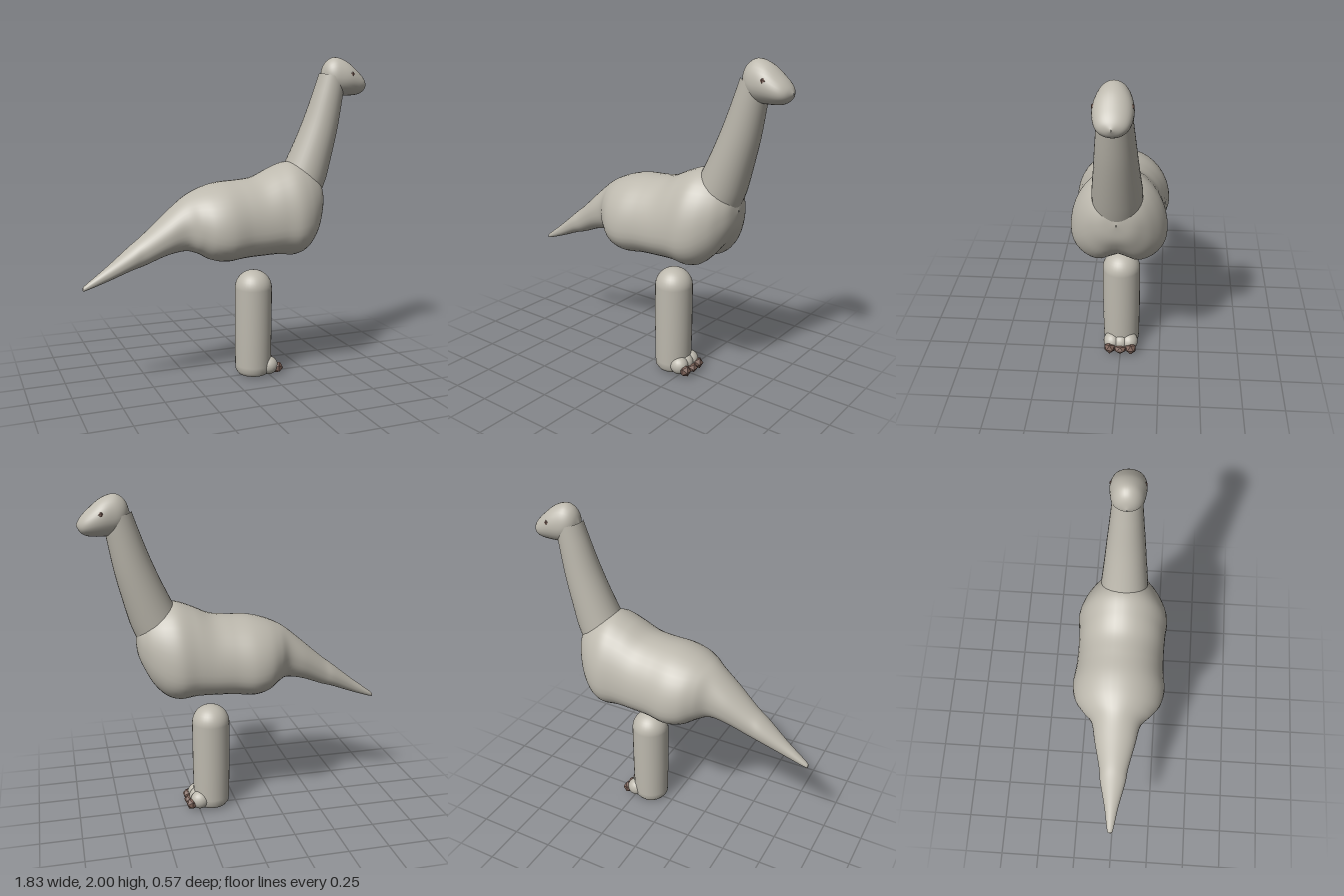
import * as THREE from 'three';

const skin = new THREE.MeshStandardMaterial({ name: 'grey skin', color: 0xbdb9ae });
const brown = new THREE.MeshStandardMaterial({ name: 'brown claw', color: 0x7c6258 });

// Lofts egg-shaped sections along x.
// Station: [x, top, bottom, half width, height of widest point (0-1), groove under the belly]
function loft(stations, steps = 80, sides = 40, squareness = 0.85) {
  const spline = (pick) => new THREE.CatmullRomCurve3(
    stations.map((s) => new THREE.Vector3(...pick(s))), false, 'catmullrom', 0.5);
  const spine = spline((s) => [s[0], s[1], s[2]]);
  const shape = spline((s) => [s[3], s[4], s[5]]);
  const pos = [], index = [];
  for (let i = 0; i <= steps; i++) {
    const p = spine.getPoint(i / steps), q = shape.getPoint(i / steps);
    const height = p.y - p.z, mid = p.z + height * q.y;
    for (let j = 0; j < sides; j++) {
      const a = (j / sides) * Math.PI * 2, c = Math.cos(a), s = Math.sin(a);
      const e = c < 0 ? squareness : 1;
      const z = Math.sign(s) * Math.abs(s) ** e * q.x;
      let y = mid + (c < 0 ? -(Math.abs(c) ** e) * height * q.y : c * height * (1 - q.y));
      if (c < 0) y += q.z * Math.exp(-((z / 0.08) ** 2)) * -c;
      pos.push(p.x, y, z);
      if (i < steps) {
        const k = (j + 1) % sides, r = i * sides, n = r + sides;
        index.push(r + j, r + k, n + j, r + k, n + k, n + j);
      }
    }
  }
  const g = new THREE.BufferGeometry();
  g.setAttribute('position', new THREE.Float32BufferAttribute(pos, 3));
  g.setIndex(index);
  g.computeVertexNormals();
  return g;
}

// Tube whose radius runs through the given list
function taperedTube(points, radii, steps = 30, sides = 32) {
  const curve = new THREE.CatmullRomCurve3(points.map((p) => new THREE.Vector3(...p)));
  const g = new THREE.TubeGeometry(curve, steps, 1, sides);
  const pos = g.attributes.position, v = new THREE.Vector3();
  for (let i = 0; i < pos.count; i++) {
    const t = Math.floor(i / (sides + 1)) / steps;
    const f = t * (radii.length - 1), k = Math.min(Math.floor(f), radii.length - 2);
    const r = THREE.MathUtils.lerp(radii[k], radii[k + 1], f - k);
    const c = curve.getPointAt(t);
    v.fromBufferAttribute(pos, i).sub(c).multiplyScalar(r).add(c);
    pos.setXYZ(i, v.x, v.y, v.z);
  }
  return g;
}

export function createModel() {
  const model = new THREE.Group();
  model.name = 'longNeckedDinosaur';
  const add = (name, geometry, material, x = 0, y = 0, z = 0) => {
    const mesh = new THREE.Mesh(geometry, material);
    mesh.name = name;
    mesh.position.set(x, y, z);
    model.add(mesh);
    return mesh;
  };

  // Tail, hips, belly and chest in one skin
  add('bodyAndTail', loft([
    [-0.915, 0.663, 0.655, 0.002, 0.5, 0],
    [-0.90, 0.682, 0.65, 0.018, 0.5, 0],
    [-0.77, 0.78, 0.695, 0.043, 0.5, 0],
    [-0.63, 0.893, 0.75, 0.078, 0.5, 0],
    [-0.55, 0.955, 0.775, 0.09, 0.5, 0],
    [-0.42, 1.068, 0.825, 0.123, 0.5, 0],
    [-0.31, 1.16, 0.846, 0.15, 0.48, 0],
    [-0.24, 1.20, 0.828, 0.21, 0.44, 0.01],
    [-0.165, 1.23, 0.787, 0.262, 0.4, 0.025],
    [-0.07, 1.252, 0.77, 0.283, 0.38, 0.035],
    [0.05, 1.26, 0.782, 0.27, 0.38, 0.015],
    [0.16, 1.275, 0.787, 0.267, 0.37, 0.01],
    [0.27, 1.325, 0.788, 0.27, 0.36, 0.02],
    [0.37, 1.36, 0.777, 0.278, 0.36, 0.045],
    [0.45, 1.35, 0.80, 0.252, 0.38, 0.06],
    [0.52, 1.315, 0.865, 0.2, 0.43, 0.05],
    [0.565, 1.27, 0.945, 0.145, 0.5, 0.03],
    [0.595, 1.22, 1.03, 0.085, 0.5, 0.01],
    [0.607, 1.14, 1.13, 0.003, 0.5, 0],
  ], 120), skin);

  // Neck
  add('neck', taperedTube(
    [[0.45, 1.16, 0], [0.505, 1.29, 0], [0.6, 1.56, 0], [0.66, 1.78, 0], [0.685, 1.88, 0]],
    [0.143, 0.14, 0.125, 0.112, 0.098, 0.085]), skin);

  // Head
  add('head', loft([
    [0.612, 1.895, 1.885, 0.002, 0.5, 0],
    [0.63, 1.95, 1.83, 0.05, 0.48, 0],
    [0.66, 1.985, 1.79, 0.08, 0.46, 0],
    [0.705, 2.0, 1.767, 0.096, 0.45, 0],
    [0.775, 1.975, 1.763, 0.104, 0.48, 0],
    [0.85, 1.914, 1.768, 0.09, 0.5, 0],
    [0.89, 1.872, 1.788, 0.06, 0.5, 0],
    [0.912, 1.835, 1.825, 0.002, 0.5, 0],
  ], 40, 32, 1), skin);

  // Single column leg with a domed top
  const profile = [[0, 0], [0.06, 0.003], [0.095, 0.012], [0.111, 0.035], [0.114, 0.07], [0.117, 0.3], [0.117, 0.57]]
    .map((p) => new THREE.Vector2(...p));
  for (let i = 1; i <= 10; i++) {
    const a = (i / 10) * Math.PI / 2;
    profile.push(new THREE.Vector2(0.117 * Math.cos(a), 0.57 + 0.115 * Math.sin(a)));
  }
  add('leg', new THREE.LatheGeometry(profile, 32), skin, 0.16, 0, 0);

  // Toes and faceted claws
  for (const side of [-1, 0, 1]) {
    const toe = add('toe', new THREE.SphereGeometry(1, 20, 14), skin, 0.245, 0.064, side * 0.055);
    toe.scale.set(0.06, 0.058, 0.055);
    const claw = add('claw', new THREE.IcosahedronGeometry(0.038, 0), brown,
      side ? 0.3 : 0.303, side ? 0.047 : 0.042, side * 0.067);
    if (!side) claw.scale.set(1, 0.75, 1.1);
  }

  // Eyes
  for (const side of [-1, 1]) {
    add('eye', new THREE.IcosahedronGeometry(0.019, 0), brown, 0.777, 1.896, side * 0.087);
  }
  return model;
}
